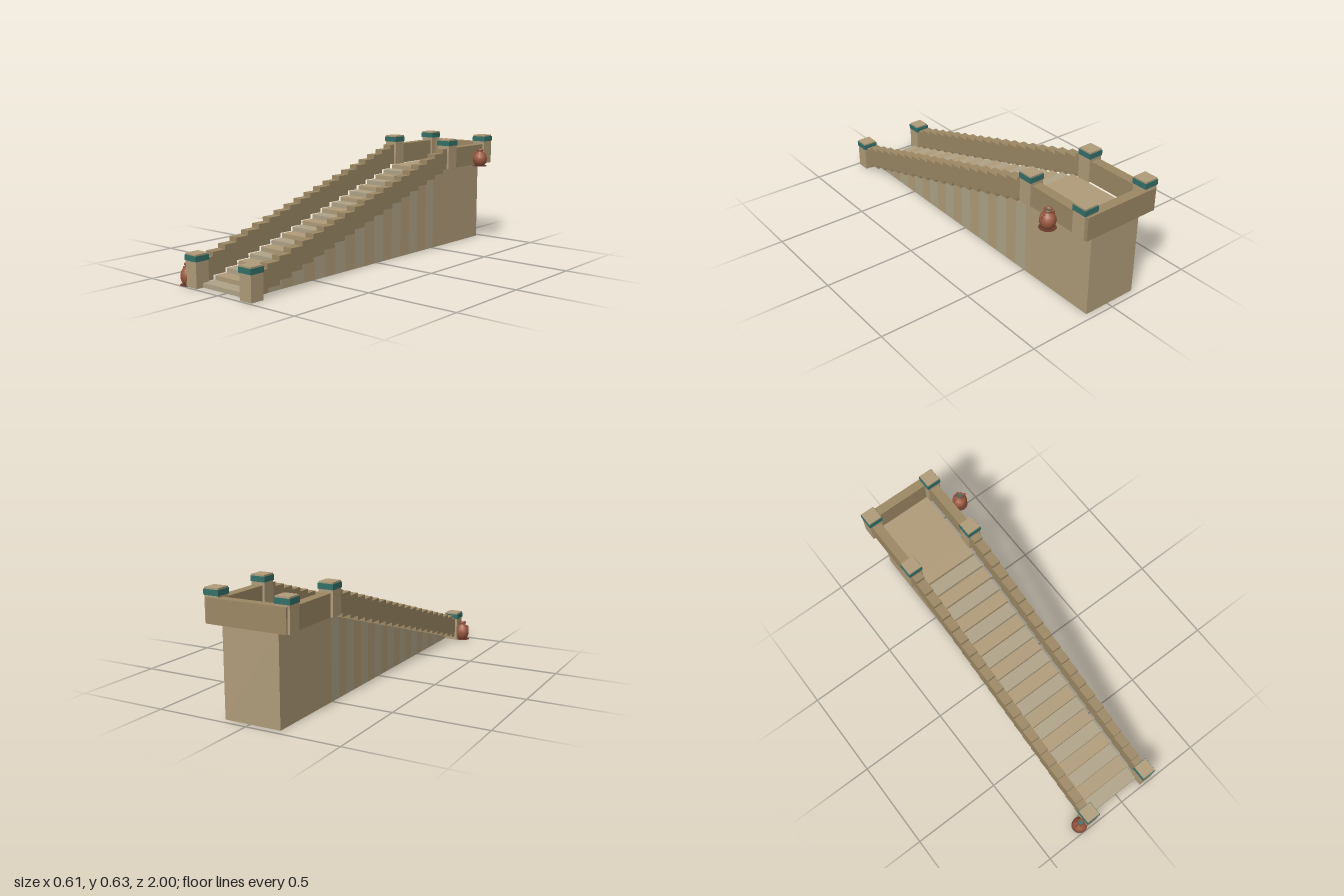
import * as THREE from 'three';

const paint = (color) => new THREE.MeshStandardMaterial({ color, side: THREE.DoubleSide });
const stone = paint(0xb09c7a), paleStone = paint(0xb0a488), darkStone = paint(0x9c8864);
const teal = paint(0x347069), clay = paint(0x9c5a40), darkClay = paint(0x6a3a2a);

const STEPS = 20, RISE = 0.0231, RUN = 0.0766;
const FRONT = 0.947, LANDING = FRONT - STEPS * RUN, BACK = -0.965;
const TOP = STEPS * RISE, RAIL_H = 5 * RISE;
const MID_X = -0.0145, SIDE_X = 0.192, RAIL_W = 0.052;

// Box given by its x centre and width, y range and z range
function block(name, x, w, y0, y1, z0, z1, material) {
  const mesh = new THREE.Mesh(new THREE.BoxGeometry(w, y1 - y0, z1 - z0), material);
  mesh.position.set(x, (y0 + y1) / 2, (z0 + z1) / 2);
  mesh.name = name;
  return mesh;
}

// Square post with a coloured band below its top
function post(x, y, z) {
  const g = new THREE.Group();
  g.name = 'post';
  g.add(block('postShaft', 0, 0.077, 0, 0.168, -0.0385, 0.0385, stone));
  g.add(block('postBand', 0, 0.083, 0.132, 0.16, -0.0415, 0.0415, teal));
  g.position.set(x, y, z);
  return g;
}

// Two-handled clay jar on a thin round base
function jar(x, y, z, stretch) {
  const g = new THREE.Group();
  g.name = 'jar';
  const profile = [
    [0, 0], [0.022, 0], [0.032, 0.011], [0.039, 0.026], [0.041, 0.042], [0.038, 0.058],
    [0.030, 0.070], [0.019, 0.079], [0.017, 0.088], [0.021, 0.091], [0.021, 0.097],
    [0.015, 0.097], [0.013, 0.086],
  ].map(([r, h]) => new THREE.Vector2(r, h));
  const body = new THREE.Mesh(new THREE.LatheGeometry(profile, 14), clay);
  body.name = 'jarBody';
  g.add(body);

  const mouth = new THREE.Mesh(new THREE.CylinderGeometry(0.013, 0.013, 0.002, 12), teal);
  mouth.position.y = 0.087;
  mouth.name = 'jarMouth';
  g.add(mouth);

  const base = new THREE.Mesh(new THREE.CylinderGeometry(0.043, 0.043, 0.001, 16), darkClay);
  base.position.y = 0.0005;
  base.name = 'jarBase';
  g.add(base);

  for (const s of [-1, 1]) {
    const path = new THREE.CatmullRomCurve3([
      new THREE.Vector3(s * 0.024, 0.071, 0), new THREE.Vector3(s * 0.031, 0.078, 0),
      new THREE.Vector3(s * 0.036, 0.07, 0), new THREE.Vector3(s * 0.036, 0.054, 0),
    ]);
    const handle = new THREE.Mesh(new THREE.TubeGeometry(path, 8, 0.0045, 6), clay);
    handle.name = 'jarHandle';
    g.add(handle);
  }
  g.scale.y = stretch;
  g.position.set(x, y, z);
  return g;
}

export function createModel() {
  const model = new THREE.Group();
  model.name = 'staircase';
  const stairs = new THREE.Group();
  stairs.name = 'stairs';
  model.add(stairs);

  // Solid steps, with a stepped parapet on either side
  for (let i = 0; i < STEPS; i++) {
    const z1 = FRONT - i * RUN, z0 = z1 - RUN, y = (i + 1) * RISE;
    stairs.add(block('step', MID_X, 0.307, 0, y, z0, z1, i % 2 ? stone : paleStone));
    for (const s of [-1, 1]) {
      model.add(block('steppedRail', MID_X + s * SIDE_X, RAIL_W, y, y + RAIL_H, z0, z1, darkStone));
    }
  }

  // Landing with its low walls
  model.add(block('landing', MID_X, 0.307, 0, TOP, BACK, LANDING, stone));
  for (const s of [-1, 1]) {
    const x = MID_X + s * SIDE_X;
    model.add(block('landingRail', x, RAIL_W, TOP, TOP + RAIL_H, -0.95, LANDING, darkStone));
    model.add(post(x, 0, 0.949), post(x, TOP, -0.584), post(x, TOP, -0.952));
  }
  model.add(block('backWall', MID_X, 2 * SIDE_X + RAIL_W, TOP, 0.585, -1, -0.949, darkStone));

  // Jars
  model.add(jar(-0.264, 0, 0.957, 1.12), jar(0.262, TOP, -0.8, 1));
  return model;
}
